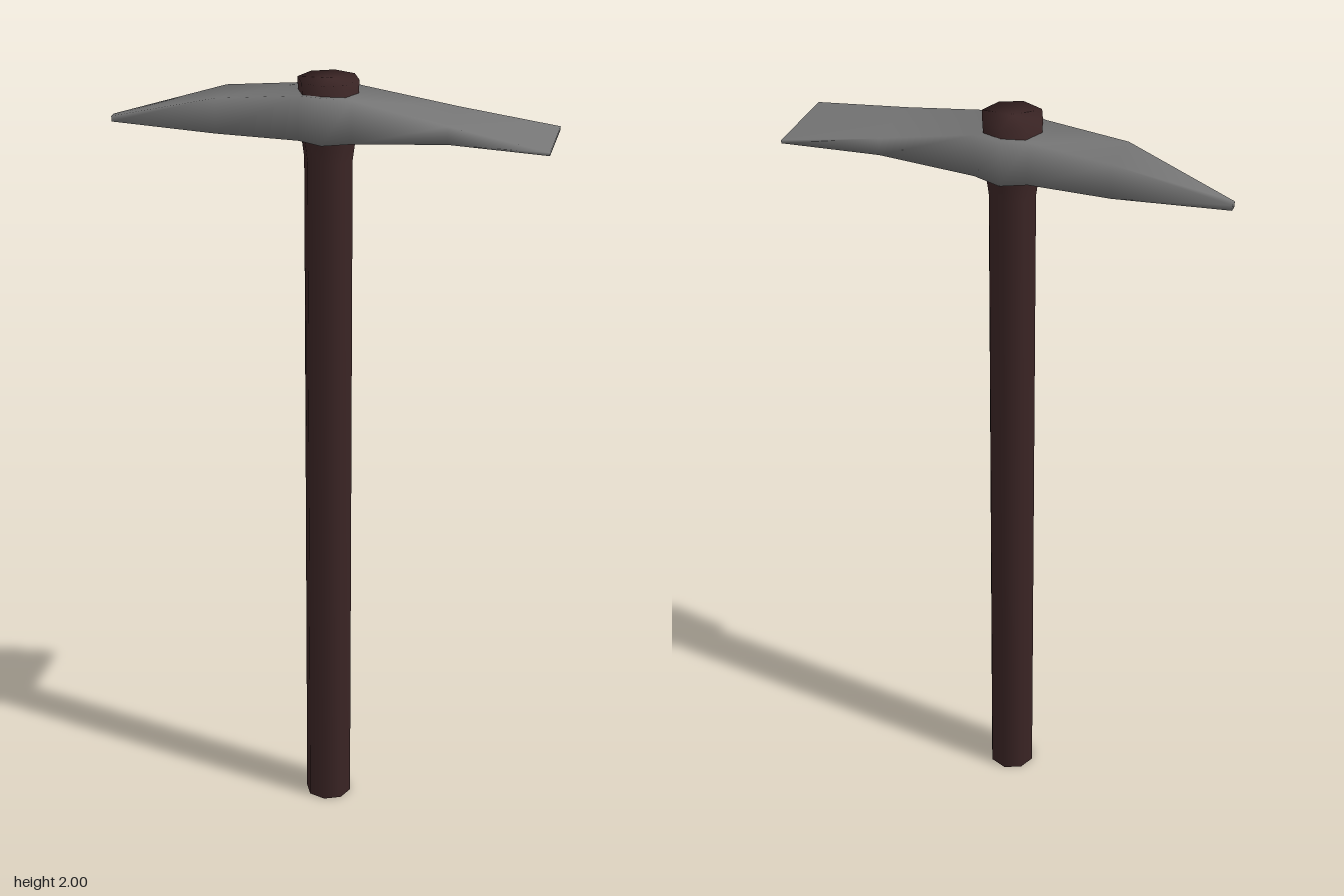
import * as THREE from 'three';

const CX = -0.004; // handle axis

// Smooth four-sided bar lofted through [x, half width, bottom, top] sections
function loft(sections) {
  const pos = [], idx = [];
  for (const [x, w, b, t] of sections) pos.push(x, b, w, x, b, -w, x, t, -w, x, t, w);
  const n = sections.length;
  for (let i = 0; i < n - 1; i++) {
    for (let j = 0; j < 4; j++) {
      const a = i * 4 + j, c = i * 4 + (j + 1) % 4;
      idx.push(a, c, a + 4, c, c + 4, a + 4);
    }
  }
  const e = (n - 1) * 4;
  idx.push(0, 2, 1, 0, 3, 2, e, e + 1, e + 2, e, e + 2, e + 3);
  const g = new THREE.BufferGeometry();
  g.setAttribute('position', new THREE.Float32BufferAttribute(pos, 3));
  g.setIndex(idx);
  g.computeVertexNormals();
  return g;
}

export function createModel() {
  const model = new THREE.Group();
  const wood = new THREE.MeshStandardMaterial({ name: 'dark wood', color: 0x3b2525 });
  const steel = new THREE.MeshStandardMaterial({ name: 'grey steel', color: 0x777777 });

  // Eight-sided handle, flaring where it passes through the head
  const profile = [[0, 0], [0.06, 0], [0.06, 1.8], [0.068, 1.86], [0.076, 2], [0, 2]]
    .map(([r, y]) => new THREE.Vector2(r, y));
  const handle = new THREE.Mesh(new THREE.LatheGeometry(profile, 8), wood);
  handle.name = 'handle';
  handle.position.x = CX;
  model.add(handle);

  // Head: pointed pick on one side, wide flat blade on the other
  const head = new THREE.Mesh(loft([
    [-0.545, 0.01, 1.862, 1.876],
    [-0.27, 0.06, 1.864, 1.952],
    [-0.065, 0.06, 1.859, 1.97],
    [CX, 0.086, 1.857, 1.975],
    [0.066, 0.066, 1.86, 1.968],
    [0.3, 0.085, 1.88, 1.924],
    [0.545, 0.106, 1.875, 1.883],
  ]), steel);
  head.name = 'pickHead';
  model.add(head);
  return model;
}
